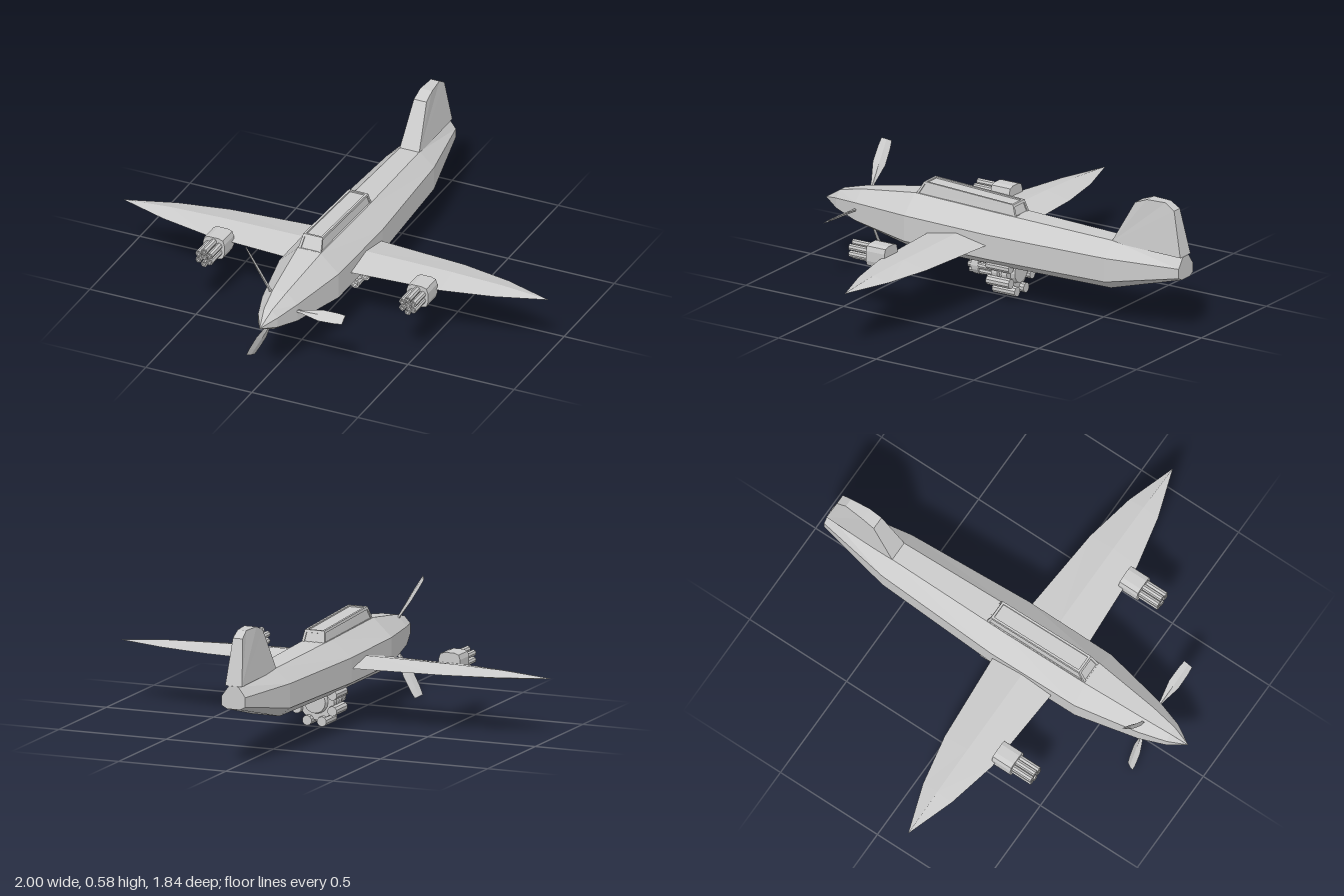
import * as THREE from 'three';

const material = new THREE.MeshStandardMaterial({ color: 0xcccccc, flatShading: true });

function addMesh(parent, name, geometry) {
  const mesh = new THREE.Mesh(geometry, material);
  mesh.name = name;
  parent.add(mesh);
  return mesh;
}

// Closed solid from polygons (arrays of Vector3, wound alike); turned outward by signed volume
function solid(polygons) {
  const tris = [];
  let volume = 0;
  for (const p of polygons) {
    for (let i = 1; i < p.length - 1; i++) {
      tris.push([p[0], p[i], p[i + 1]]);
      volume += p[0].dot(new THREE.Vector3().crossVectors(p[i], p[i + 1]));
    }
  }
  const points = tris.flatMap(([a, b, c]) => (volume > 0 ? [a, b, c] : [a, c, b]));
  const geometry = new THREE.BufferGeometry().setFromPoints(points);
  geometry.computeVertexNormals();
  return geometry;
}

// Skin through cross-sections with equal point counts, capped at both ends
function loft(sections) {
  const rings = sections.map((s) => s.map((p) => new THREE.Vector3(...p)));
  const n = rings[0].length;
  const polygons = [[...rings[0]].reverse(), rings[rings.length - 1]];
  for (let k = 0; k < rings.length - 1; k++) {
    for (let i = 0; i < n; i++) {
      const j = (i + 1) % n;
      polygons.push([rings[k][i], rings[k][j], rings[k + 1][j], rings[k + 1][i]]);
    }
  }
  return solid(polygons);
}

// Solid turned around the z axis from [radius, z] points, back to front
function turned(profile, sides) {
  return new THREE.LatheGeometry(profile.map((p) => new THREE.Vector2(...p)), sides).rotateX(Math.PI / 2);
}

// Bored tube along z
function tube(r, z0, z1, bore, sides = 8) {
  return turned([[0, z0], [r, z0], [r, z1], [r * bore, z1], [r * bore, z1 - r], [0, z1 - r]], sides);
}

// Copies of a geometry spaced around the z axis
function ringOf(parent, name, geometry, count, radius, start) {
  for (let i = 0; i < count; i++) {
    const a = start + (i / count) * Math.PI * 2;
    addMesh(parent, name, geometry).position.set(Math.cos(a) * radius, Math.sin(a) * radius, 0);
  }
}

// Quad with a sunken panel framed by a border
function framedQuad([a, b, c, d], border, depth) {
  const normal = new THREE.Vector3().crossVectors(b.clone().sub(a), d.clone().sub(a)).normalize();
  const u = border / a.distanceTo(b), v = border / a.distanceTo(d);
  const at = (s, t) => a.clone().lerp(b, s).lerp(d.clone().lerp(c, s), t);
  const inner = [at(u, v), at(1 - u, v), at(1 - u, 1 - v), at(u, 1 - v)];
  const sunk = inner.map((p) => p.clone().addScaledVector(normal, -depth));
  const outer = [a, b, c, d];
  const polygons = [sunk];
  for (let i = 0; i < 4; i++) {
    const j = (i + 1) % 4;
    polygons.push([outer[i], outer[j], inner[j], inner[i]], [inner[i], inner[j], sunk[j], sunk[i]]);
  }
  return polygons;
}

function fuselage() {
  // z, half widths (top, middle, bottom), heights (top, upper edge, lower edge, bottom)
  const stations = [
    [-0.92, 0.022, 0.055, 0.03, 0.355, 0.31, 0.268, 0.255],
    [-0.58, 0.045, 0.113, 0.065, 0.372, 0.311, 0.205, 0.165],
    [0, 0.055, 0.143, 0.085, 0.388, 0.314, 0.205, 0.165],
    [0.43, 0.055, 0.14, 0.085, 0.4, 0.32, 0.205, 0.165],
    [0.72, 0.032, 0.083, 0.047, 0.355, 0.307, 0.228, 0.207],
    [0.84, 0.018, 0.046, 0.025, 0.325, 0.295, 0.25, 0.235],
    [0.92, 0.001, 0.001, 0.001, 0.274, 0.273, 0.272, 0.271],
  ];
  return loft(stations.map(([z, t, m, b, y0, y1, y2, y3]) => [
    [t, y0, z], [-t, y0, z], [-m, y1, z], [-m, y2, z],
    [-b, y3, z], [b, y3, z], [m, y2, z], [m, y1, z],
  ]));
}

function canopy() {
  const V = (x, y, z) => new THREE.Vector3(x, y, z);
  const base = [V(0.055, 0.39, 0.43), V(0.055, 0.375, -0.085), V(-0.055, 0.375, -0.085), V(-0.055, 0.39, 0.43)];
  const top = [V(0.045, 0.455, 0.39), V(0.045, 0.435, -0.065), V(-0.045, 0.435, -0.065), V(-0.045, 0.455, 0.39)];
  const polygons = [[...base].reverse(), ...framedQuad(top, 0.01, 0.006)];
  for (let i = 0; i < 4; i++) {
    const j = (i + 1) % 4;
    polygons.push(...framedQuad([base[i], base[j], top[j], top[i]], 0.012, 0.005));
  }
  return solid(polygons);
}

function tailFin() {
  const outline = [[-0.57, 0.365], [-0.68, 0.56], [-0.74, 0.583], [-0.83, 0.583], [-0.875, 0.555], [-0.918, 0.355]];
  const side = (s) => outline.map(([z, y]) => {
    const half = 0.047 - (y - 0.36) * 0.085 - (z < -0.8 ? 0.008 : 0);
    return [s * half, y, z];
  });
  return loft([side(-1), side(1)]);
}

function wing(s) {
  // x, trailing z, leading z, half thickness
  const stations = [
    [0.05, 0.005, 0.313, 0.028], [0.15, 0.01, 0.31, 0.028], [0.55, 0.04, 0.285, 0.025],
    [0.78, 0.085, 0.235, 0.018], [1, 0.159, 0.161, 0.001],
  ];
  return loft(stations.map(([x, back, front, h]) => [
    [s * x, 0.265, front], [s * x, 0.265 + h, 0.16], [s * x, 0.265, back], [s * x, 0.265 - h, 0.16],
  ]));
}

function gunPod() {
  const pod = new THREE.Group();
  const w = 0.05, c = 0.022;
  const corners = [[c, w], [-c, w], [-0.043, 0.043], [-w, c], [-w, -c], [-0.043, -0.043],
    [-c, -w], [c, -w], [0.043, -0.043], [w, -c], [w, c], [0.043, 0.043]];
  addMesh(pod, 'podHousing', loft([0.27, 0.365].map((z) => corners.map(([x, y]) => [x, y, z]))));
  ringOf(pod, 'podBarrel', tube(0.0145, 0.36, 0.462, 0.6), 6, 0.03, Math.PI / 2);
  addMesh(pod, 'podCoreBarrel', tube(0.0145, 0.36, 0.455, 0.6));
  return pod;
}

function bellyGun() {
  const gun = new THREE.Group();
  // Rear drum with two collars, ringed by launch tubes
  addMesh(gun, 'drum', turned([[0, -0.075], [0.05, -0.075], [0.055, -0.055], [0.083, -0.055], [0.083, -0.025],
    [0.065, -0.025], [0.065, -0.005], [0.083, -0.005], [0.083, 0.025], [0.05, 0.025], [0.05, 0.045], [0, 0.045]], 16));
  ringOf(gun, 'launchTube', tube(0.022, -0.078, 0.038, 0.65, 10), 8, 0.09, Math.PI / 8);
  // Forward barrel cluster held by a muzzle collar
  addMesh(gun, 'core', turned([[0, 0.03], [0.028, 0.03], [0.028, 0.15], [0, 0.15]], 10));
  ringOf(gun, 'clusterBarrel', tube(0.013, 0.03, 0.168, 0.6), 8, 0.037, 0);
  addMesh(gun, 'muzzleCollar', turned([[0, 0.115], [0.05, 0.115], [0.05, 0.15], [0, 0.15]], 16));
  addMesh(gun, 'spike', turned([[0, 0.14], [0.02, 0.14], [0.016, 0.165], [0, 0.192]], 8));
  return gun;
}

function propeller() {
  const prop = new THREE.Group();
  // radius, chord, thickness
  const stations = [[0.05, 0.014, 0.012], [0.1, 0.016, 0.012], [0.19, 0.056, 0.012], [0.26, 0.054, 0.009], [0.3, 0.046, 0.006]];
  const blade = loft(stations.map(([r, chord, t]) => [
    [r, 0, chord / 2], [r, t / 2, 0], [r, 0, -chord / 2], [r, -t / 2, 0],
  ]));
  blade.rotateX(0.55);
  for (let i = 0; i < 3; i++) {
    addMesh(prop, 'propellerBlade', blade).rotation.z = 0.04 + (i * Math.PI * 2) / 3;
  }
  return prop;
}

export function createModel() {
  const model = new THREE.Group();
  model.name = 'aeroplane';
  addMesh(model, 'fuselage', fuselage());
  addMesh(model, 'canopy', canopy());
  addMesh(model, 'tailFin', tailFin());

  // Wings and their gun pods, mirrored
  for (const [side, s] of [['left', 1], ['right', -1]]) {
    addMesh(model, side + 'Wing', wing(s));
    const pod = gunPod();
    pod.name = side + 'GunPod';
    pod.position.set(s * 0.48, 0.263, 0);
    model.add(pod);
  }

  const gun = bellyGun();
  gun.name = 'bellyGun';
  gun.position.set(-0.004, 0.125, 0);
  model.add(gun);

  const prop = propeller();
  prop.name = 'propeller';
  prop.position.set(0, 0.272, 0.718);
  model.add(prop);
  return model;
}
